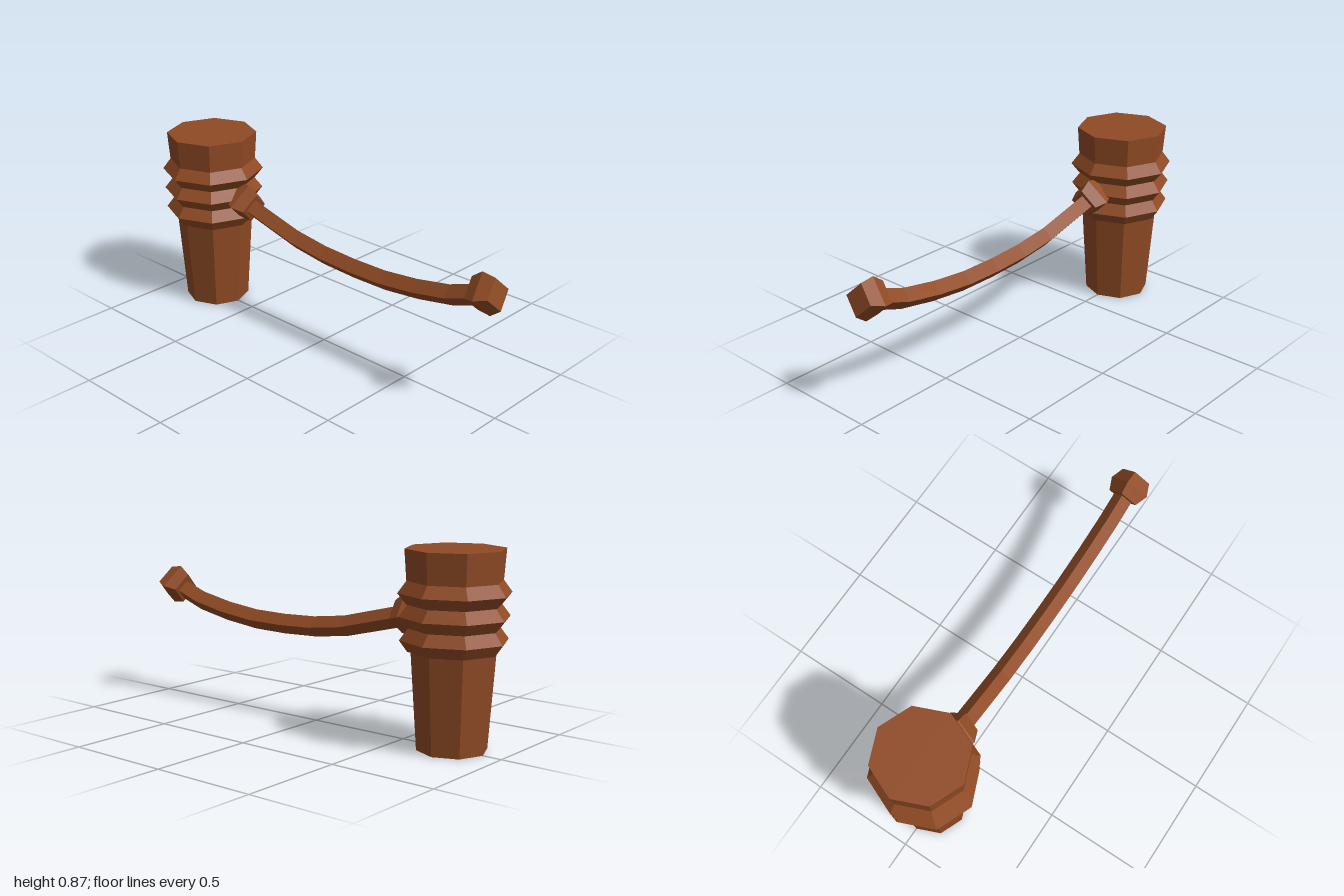
import * as THREE from 'three';

export function createModel() {
  const model = new THREE.Group();
  const brown = new THREE.MeshStandardMaterial({ color: 0x8f4a24, flatShading: true });
  brown.name = 'warm brown';

  const add = (geometry, name, parent = model) => {
    const mesh = new THREE.Mesh(geometry, brown);
    mesh.name = name;
    parent.add(mesh);
    return mesh;
  };
  // Faceted solid of revolution from [radius, height] pairs, bottom to top
  const lathe = (profile, sides) =>
    new THREE.LatheGeometry(profile.map(([r, y]) => new THREE.Vector2(r, y)), sides);

  // Eight-sided stopper: tapered shank, three ridges and a flared head
  const stopper = new THREE.Group();
  stopper.name = 'stopper';
  stopper.position.z = -0.755;
  model.add(stopper);
  add(lathe([[0, 0], [0.155, 0], [0.185, 0.43], [0, 0.43]], 8), 'shank', stopper);
  [[0.43, 0.2, 0.235, 0.197], [0.53, 0.202, 0.24, 0.2], [0.63, 0.205, 0.245, 0.207]]
    .forEach(([y, low, mid, high], i) => {
      add(lathe([[0, y], [low, y], [mid, y + 0.049], [high, y + 0.1], [0, y + 0.1]], 8),
        'ridge' + (i + 1), stopper);
    });
  add(lathe([[0, 0.73], [0.207, 0.73], [0.217, 0.865], [0, 0.865]], 8), 'head', stopper);

  // Sagging four-sided cord
  const path = new THREE.CatmullRomCurve3([
    [-0.53, 0.56], [-0.36, 0.517], [-0.16, 0.467], [0.045, 0.443], [0.25, 0.438],
    [0.42, 0.443], [0.6, 0.467], [0.78, 0.505], [0.91, 0.555],
  ].map(([z, y]) => new THREE.Vector3(0, y, z)));
  add(new THREE.TubeGeometry(path, 8, 0.047, 4), 'cord');

  // Square knots at both ends, each tilted up along the cord
  const knotProfile = [[0, -0.06], [0.073, -0.06], [0.097, 0], [0.073, 0.06], [0, 0.06]];
  [['frontKnot', 0.915, 1], ['backKnot', -0.525, -1]].forEach(([name, z, side]) => {
    const knot = add(lathe(knotProfile, 4), name);
    knot.position.set(0, 0.56, z);
    knot.rotation.x = side * (Math.PI / 2 - 0.26);
  });

  return model;
}
